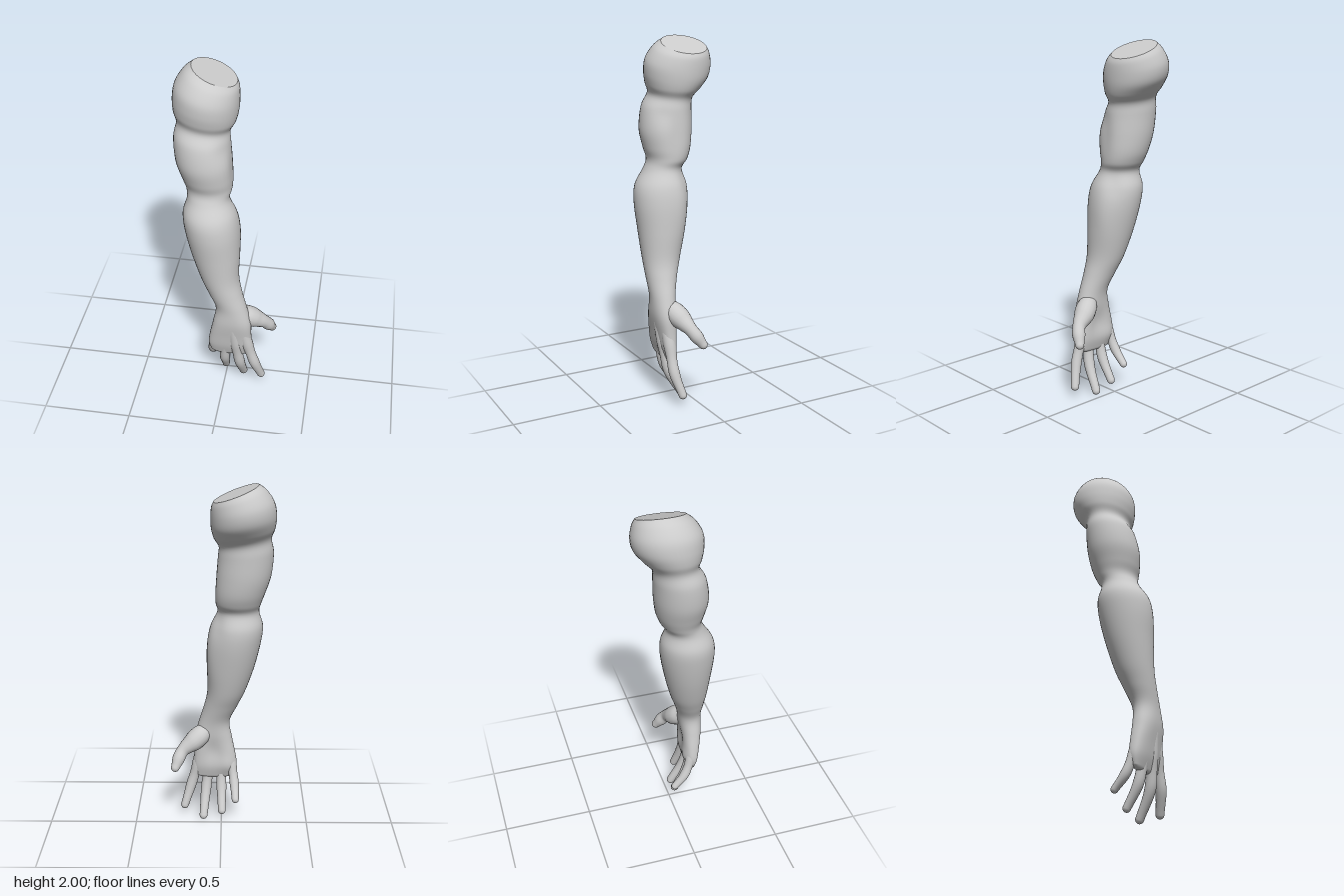
import * as THREE from 'three';

const { smoothstep } = THREE.MathUtils;
const SIDES = 40;

// Catmull-Rom blend through rows of numbers
function blend(rows, steps) {
  const out = [], last = rows.length - 1;
  for (let i = 0; i < last; i++) {
    const a = rows[Math.max(i - 1, 0)], b = rows[i], c = rows[i + 1], d = rows[Math.min(i + 2, last)];
    for (let s = 0; s < steps; s++) {
      const t = s / steps;
      out.push(b.map((_, k) => b[k] + 0.5 * t * (c[k] - a[k]
        + t * (2 * a[k] - 5 * b[k] + 4 * c[k] - d[k] + t * (3 * (b[k] - c[k]) + d[k] - a[k])))));
    }
  }
  out.push(rows[last]);
  return out;
}

// Skin over a list of rings, each an array of Vector3
function skin(rings) {
  const n = rings[0].length, index = [];
  for (let i = 0; i < rings.length - 1; i++) {
    for (let j = 0; j < n; j++) {
      const a = i * n + j, b = i * n + (j + 1) % n;
      index.push(a, b, a + n, b, b + n, a + n);
    }
  }
  const g = new THREE.BufferGeometry().setFromPoints(rings.flat());
  g.setIndex(index);
  g.computeVertexNormals();
  return g;
}

function shrink(ring, k) {
  const c = ring.reduce((s, p) => s.add(p), new THREE.Vector3()).divideScalar(ring.length);
  return ring.map((p) => c.clone().lerp(p, k));
}

// Arm sections: height, x of both edges, z of front and back
const ARM = [
  [1.955, -0.195, 0.04, 0.06, -0.195],
  [1.925, -0.235, 0.052, 0.1, -0.215],
  [1.865, -0.277, 0.056, 0.135, -0.23],
  [1.8, -0.29, 0.053, 0.14, -0.217],
  [1.74, -0.285, 0.04, 0.13, -0.172],
  [1.685, -0.267, 0.015, 0.115, -0.125],
  [1.615, -0.28, 0.022, 0.152, -0.12],
  [1.5, -0.27, 0.035, 0.172, -0.115],
  [1.405, -0.24, 0.04, 0.16, -0.1],
  [1.34, -0.217, 0.036, 0.145, -0.075],
  [1.285, -0.208, 0.023, 0.165, -0.045],
  [1.2, -0.23, 0.058, 0.217, -0.07],
  [1.1, -0.22, 0.075, 0.23, -0.067],
  [0.95, -0.185, 0.08, 0.22, -0.038],
  [0.8, -0.135, 0.08, 0.21, 0],
  [0.7, -0.09, 0.1, 0.205, 0.035],
  [0.6, -0.047, 0.13, 0.2, 0.065],
  [0.5, -0.06, 0.155, 0.198, 0.075],
  [0.4, -0.08, 0.158, 0.182, 0.08],
  [0.32, -0.09, 0.16, 0.168, 0.085],
  [0.26, -0.075, 0.15, 0.15, 0.1],
];

// Muscle swellings and hollows: centre, width, height, amount
const MUSCLES = [
  [0.03, 1.47, 0.04, 0.05, 0.15, -0.012],
  [0.02, 1.6, 0.12, 0.06, 0.06, -0.012],
  [0, 1.2, 0, 0.04, 0.06, -0.012],
  [0.06, 1.05, 0.02, 0.06, 0.16, 0.01],
  [-0.03, 0.33, 0.08, 0.04, 0.06, 0.01],
  [0.05, 0.42, 0.08, 0.05, 0.07, -0.014],
];

function armRing([height, left, right, front, back]) {
  // sections lean sideways towards the shoulder and grow squarer in the palm
  const lean = 0.045 * smoothstep(height, 1.45, 1.95);
  const square = 0.75 + 0.25 * smoothstep(height, 0.4, 0.65);
  const pow = (v) => Math.sign(v) * Math.abs(v) ** square;
  return Array.from({ length: SIDES }, (_, j) => {
    const t = (j / SIDES) * Math.PI * 2, c = Math.cos(t), s = Math.sin(t);
    const p = new THREE.Vector3(
      (left + right) / 2 + pow(c) * (right - left) / 2,
      height - lean * c,
      (front + back) / 2 + pow(s) * (front - back) / 2);
    const push = MUSCLES.reduce((sum, [x, y, z, w, h, amount]) => sum
      + amount * Math.exp(-((p.x - x) ** 2 + (p.z - z) ** 2) / w ** 2 - ((p.y - y) / h) ** 2), 0);
    p.x += c * push;
    p.z += s * push;
    return p;
  });
}

function armGeometry() {
  const rings = blend(ARM, 6).map(armRing);
  const top = rings[0], end = rings[rings.length - 1];
  // flat shoulder cut with a crisp rim, rounded closing at the knuckles
  rings.unshift(shrink(top, 0), shrink(top, 0.97), top.map((p) => p.clone()));
  for (const [k, drop] of [[0.85, 0.01], [0.5, 0.017], [0, 0.018]]) {
    rings.push(shrink(end, k).map((p) => p.setY(p.y - drop)));
  }
  return skin(rings);
}

// Round limb along a path, with evenly spread radii and domed ends
function digitGeometry(path, radii, scale) {
  const curve = new THREE.CatmullRomCurve3(path.map((p) => new THREE.Vector3(...p)));
  const sizes = blend(radii.map((r) => [r * scale]), 5).flat();
  const rings = [], n = sizes.length - 1;
  const add = (i, angle) => {
    const dir = curve.getTangent(i / n);
    const c = curve.getPoint(i / n).addScaledVector(dir, sizes[i] * Math.sin(angle));
    const r = sizes[i] * Math.cos(angle);
    const u = new THREE.Vector3(1, 0, 0).addScaledVector(dir, -dir.x).normalize();
    const v = dir.clone().cross(u);
    rings.push(Array.from({ length: 18 }, (_, j) => {
      const t = (j / 18) * Math.PI * 2;
      return c.clone().addScaledVector(u, r * Math.cos(t)).addScaledVector(v, r * Math.sin(t));
    }));
  };
  for (let k = 5; k > 0; k--) add(0, -k * Math.PI / 10);
  for (let i = 0; i <= n; i++) add(i, 0);
  for (let k = 1; k <= 5; k++) add(n, k * Math.PI / 10);
  return skin(rings);
}

// Digits: back of the hand, knuckle, middle joint, tip
const FINGER_RADII = [0.03, 0.033, 0.035, 0.029, 0.03, 0.026, 0.023];
const THUMB_RADII = [0.045, 0.058, 0.057, 0.046, 0.036, 0.036, 0.025];
const THUMB = [[0.085, 0.55, 0.12], [0.16, 0.49, 0.08], [0.225, 0.44, 0.05], [0.265, 0.36, -0.002]];
const FINGERS = [
  ['indexFinger', 1, [[0.105, 0.46, 0.15], [0.135, 0.335, 0.135], [0.178, 0.19, 0.13], [0.217, 0.067, 0.098]]],
  ['middleFinger', 1.02, [[0.055, 0.46, 0.162], [0.07, 0.33, 0.142], [0.09, 0.175, 0.12], [0.105, 0.027, 0.043]]],
  ['ringFinger', 0.97, [[0.01, 0.46, 0.16], [0.005, 0.33, 0.135], [0, 0.185, 0.105], [-0.003, 0.063, 0.035]]],
  ['littleFinger', 0.9, [[-0.025, 0.46, 0.145], [-0.056, 0.34, 0.12], [-0.076, 0.22, 0.075], [-0.082, 0.147, 0.013]]],
];

export function createModel() {
  const model = new THREE.Group();
  model.name = 'arm';
  const material = new THREE.MeshStandardMaterial({ color: 0xcccccc });
  const part = (name, geometry) => {
    const mesh = new THREE.Mesh(geometry, material);
    mesh.name = name;
    model.add(mesh);
  };
  part('armAndPalm', armGeometry());
  part('thumb', digitGeometry(THUMB, THUMB_RADII, 1));
  for (const [name, scale, path] of FINGERS) part(name, digitGeometry(path, FINGER_RADII, scale));
  return model;
}
